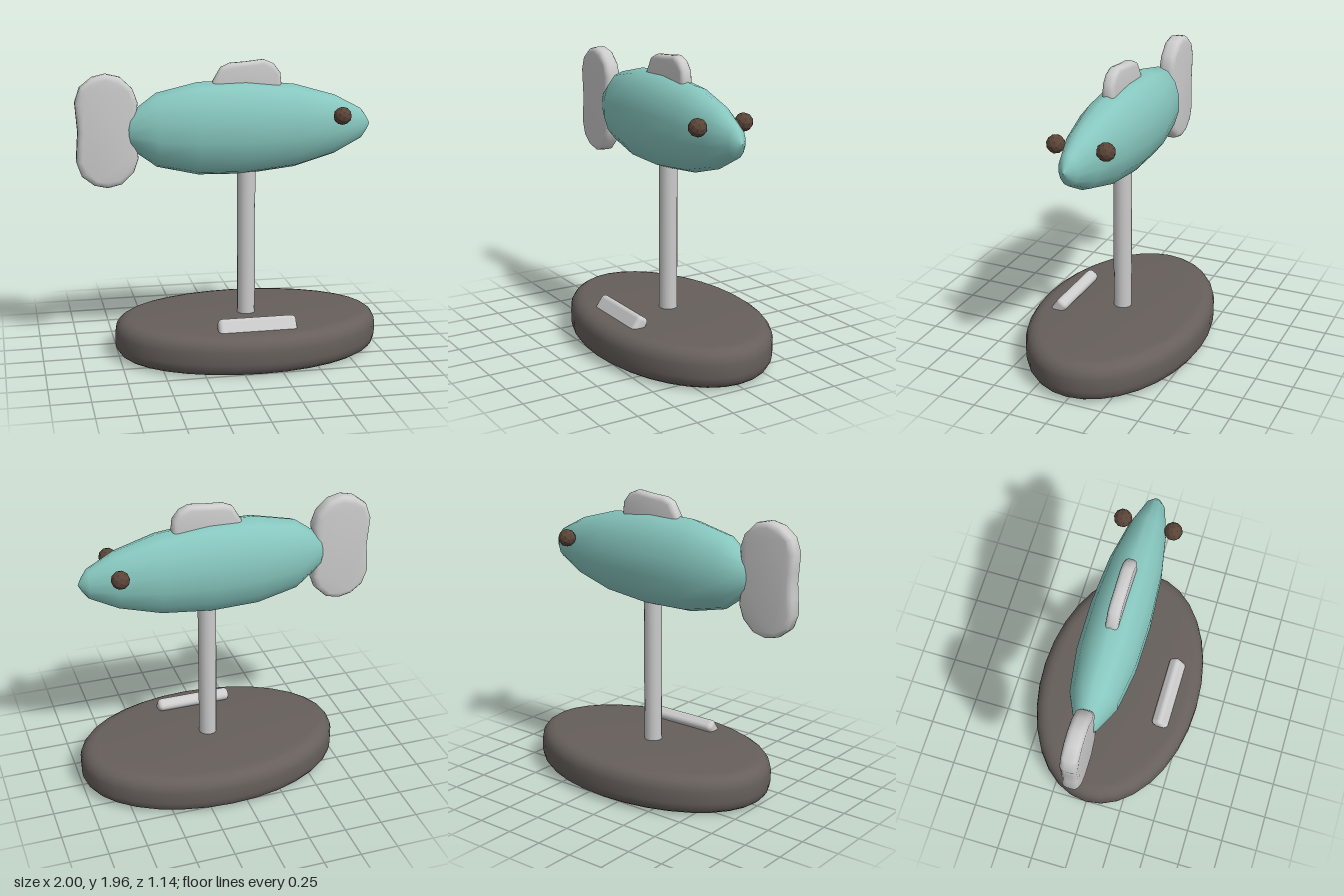
import * as THREE from 'three';
import { toCreasedNormals } from 'three/addons/utils/BufferGeometryUtils.js';
import { RoundedBoxGeometry } from 'three/addons/geometries/RoundedBoxGeometry.js';

const mat = (color, extra = {}) => new THREE.MeshStandardMaterial({ color, ...extra });

// Slab with rounded rims, centred on its thickness
function roundedSlab(points, thickness, bevel, segments) {
  const shape = new THREE.Shape(points.map(([x, y]) => new THREE.Vector2(x, y)));
  const geo = new THREE.ExtrudeGeometry(shape, {
    depth: thickness - 2 * bevel, bevelEnabled: true, bevelThickness: bevel,
    bevelSize: bevel, bevelOffset: -bevel, bevelSegments: segments,
  });
  geo.translate(0, 0, bevel - thickness / 2);
  return toCreasedNormals(geo, 0.7);
}

export function createModel() {
  const model = new THREE.Group();
  const grey = mat(0xcccccc);
  const add = (name, geo, material, x = 0, y = 0, z = 0) => {
    const mesh = new THREE.Mesh(geo, material);
    mesh.name = name;
    mesh.position.set(x, y, z);
    model.add(mesh);
    return mesh;
  };

  // Oval base
  const oval = [];
  for (let i = 0; i < 32; i++) {
    const a = (i / 32) * Math.PI * 2;
    oval.push([0.885 * Math.cos(a), 0.572 * Math.sin(a)]);
  }
  const base = roundedSlab(oval, 0.26, 0.09, 4);
  base.rotateX(-Math.PI / 2);
  add('base', base, mat(0x665f5b), 0.112, 0.13, 0);

  // Support post
  add('post', new THREE.CylinderGeometry(0.06, 0.06, 1.1, 14), grey, 0.11, 0.75, 0);

  // Tilted plaque sunk into the base
  const plaque = add('plaque', new RoundedBoxGeometry(0.515, 0.17, 0.085, 3, 0.03), grey, 0.11, 0.25, 0.372);
  plaque.rotation.x = -0.6;

  // Fish body: profile turned about x, then flattened sideways
  const profile = [
    [0, -0.68], [0.06, -0.678], [0.115, -0.65], [0.24, -0.48], [0.302, -0.21],
    [0.309, 0.1], [0.273, 0.43], [0.195, 0.7], [0.1, 0.88], [0.045, 0.92], [0, 0.943],
  ].map(([r, x]) => new THREE.Vector2(r, x));
  const body = new THREE.LatheGeometry(profile, 14, Math.PI / 2);
  body.rotateZ(-Math.PI / 2);
  body.scale(1, 1, 0.64);
  add('body', body, mat(0x87c7bf), 0, 1.517, 0);

  // Tail fin: bean outline mirrored about its middle height
  const upper = [
    [-0.615, 0.06], [-0.6, 0.18], [-0.632, 0.27], [-0.71, 0.345], [-0.8, 0.366],
    [-0.885, 0.347], [-0.965, 0.285], [-0.998, 0.19], [-0.99, 0.08],
  ];
  const lower = upper.map(([x, y]) => [x, -y]).reverse();
  add('tailFin', roundedSlab([...upper, [-0.984, 0], ...lower], 0.11, 0.035, 3), grey, 0, 1.52, 0);

  // Dorsal fin
  const dorsal = [
    [0.33, 1.72], [0.338, 1.8], [0.33, 1.87], [0.285, 1.928], [0.22, 1.955], [0.1, 1.942],
    [0, 1.936], [-0.06, 1.91], [-0.09, 1.86], [-0.12, 1.81], [-0.115, 1.72],
  ];
  add('dorsalFin', roundedSlab(dorsal, 0.08, 0.028, 3), grey);

  // Eyes
  const eyeMat = mat(0x5a4438, { flatShading: true });
  for (const [name, side] of [['frontEye', 1], ['backEye', -1]]) {
    add(name, new THREE.IcosahedronGeometry(0.059, 1), eyeMat, 0.71, 1.597, side * 0.165);
  }
  return model;
}
